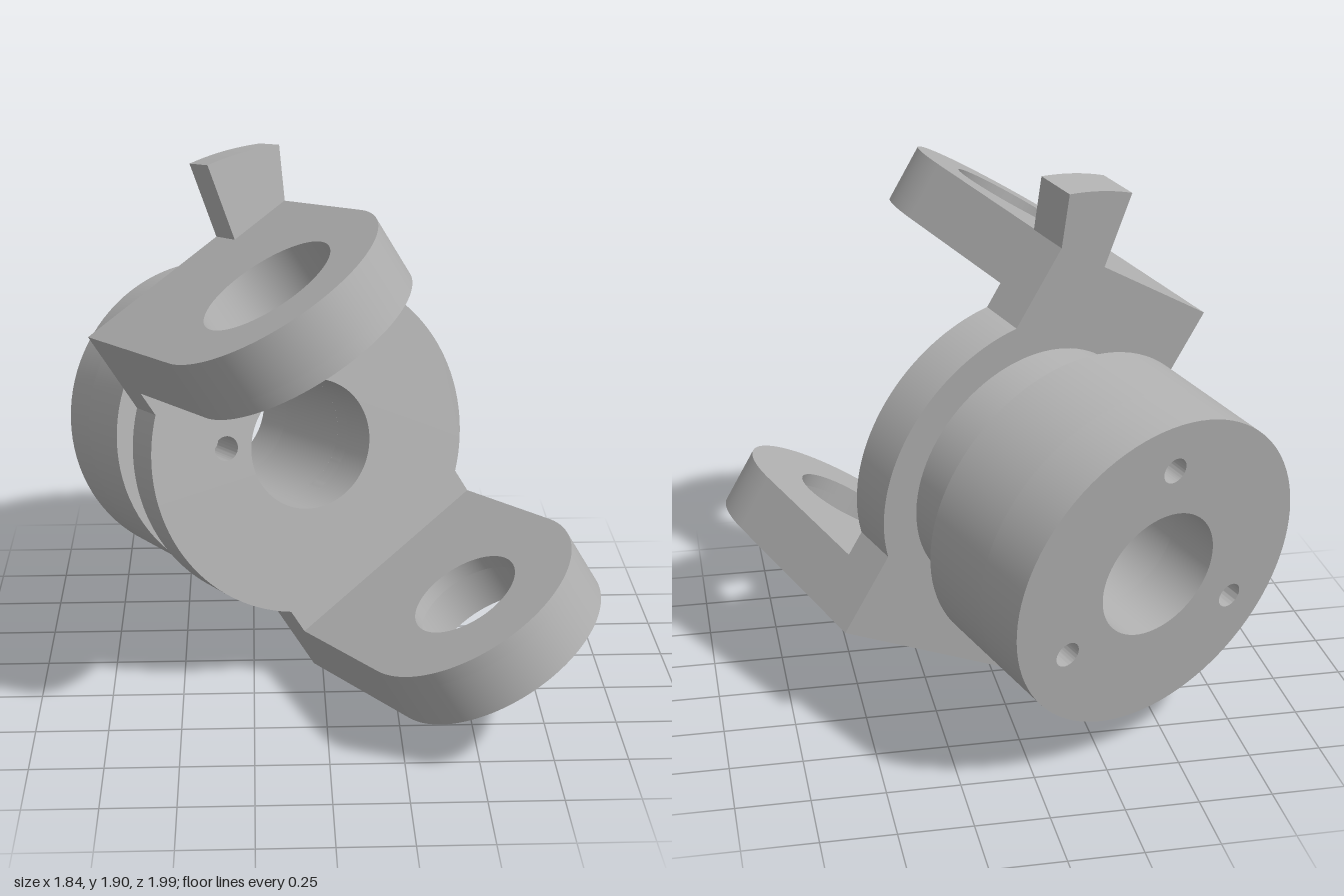
import * as THREE from 'three';
import { toCreasedNormals } from 'three/addons/utils/BufferGeometryUtils.js';

const DEG = Math.PI / 180;
const steel = new THREE.MeshStandardMaterial({ color: 0xb0b0b0 });
steel.name = 'steel grey';

function part(name, geometry) {
  const mesh = new THREE.Mesh(toCreasedNormals(geometry, 0.5), steel);
  mesh.name = name;
  return mesh;
}

function plate(shape, depth, z = 0) {
  const g = new THREE.ExtrudeGeometry(shape, { depth, bevelEnabled: false, curveSegments: 48 });
  return g.translate(0, 0, z);
}

function hole(shape, x, y, r) {
  shape.holes.push(new THREE.Path().absarc(x, y, r, 0, Math.PI * 2, true));
}

// Ring segment between two radii, angles in degrees
function sector(r0, r1, a0, a1) {
  const s = new THREE.Shape();
  s.absarc(0, 0, r1, a0 * DEG, a1 * DEG, false);
  s.absarc(0, 0, r0, a1 * DEG, a0 * DEG, true);
  s.closePath();
  return s;
}

// Local frame: z along the shaft towards the fork, y across the two arms
const BORE = 0.23, BACK = 0.72, FRONT = 0.89, HALF = 0.4, DRUM = 0.57;
const REAR = 0.2; // depth of the blind screw holes
const INNER = 0.54, OUTER = 0.755, LIP = 0.05, PIN = 1.44;

function armShape(r) {
  const s = new THREE.Shape();
  s.moveTo(-HALF, BACK);
  s.lineTo(HALF, BACK);
  s.lineTo(HALF, PIN);
  s.absarc(0, PIN, HALF, 0, Math.PI, false);
  s.closePath();
  hole(s, 0, PIN, r);
  return s;
}

function makeArm(name) {
  const arm = new THREE.Group();
  arm.name = name;
  // counterbored outer layer and the thin retaining lip on the inside
  const thick = OUTER - INNER - LIP;
  arm.add(part('armEye', plate(armShape(0.23), thick).rotateX(Math.PI / 2).translate(0, OUTER, 0)));
  arm.add(part('armLip', plate(armShape(0.19), LIP).rotateX(Math.PI / 2).translate(0, INNER + LIP, 0)));
  return arm;
}

export function createModel() {
  const yoke = new THREE.Group();
  yoke.name = 'yoke';

  // Drum end with three blind screw holes
  const end = new THREE.Shape().absarc(0, 0, DRUM, 0, Math.PI * 2, false);
  hole(end, 0, 0, BORE);
  for (const a of [60, -60, 180]) hole(end, 0.4 * Math.cos(a * DEG), 0.4 * Math.sin(a * DEG), 0.045);
  yoke.add(part('drumEnd', plate(end, REAR)));

  // Drum, groove and neck, with an annular pocket inside
  const profile = [
    [BORE, REAR], [DRUM, REAR], [DRUM, 0.485], [0.5, 0.485], [0.5, 0.5], [0.43, 0.5],
    [0.43, 0.53], [0.47, 0.53], [0.47, BACK], [0.4, BACK], [0.4, 0.64], [BORE, 0.64], [BORE, REAR],
  ].map(([r, z]) => new THREE.Vector2(r, z));
  yoke.add(part('drumAndNeck', new THREE.LatheGeometry(profile, 96).rotateX(Math.PI / 2)));

  // Bore wall, leaving two radial ports under the flange holes
  yoke.add(part('upperBoreWall', plate(sector(BORE, 0.4, 46, 134), BACK - 0.64, 0.64)));
  yoke.add(part('lowerBoreWall', plate(sector(BORE, 0.4, 156, 384), BACK - 0.64, 0.64)));

  // Flange: disc merged with the strip that joins the arms
  const corner = Math.acos(HALF / 0.6);
  const flange = new THREE.Shape();
  flange.absarc(0, 0, 0.6, -corner, corner, false);
  flange.lineTo(HALF, INNER);
  flange.lineTo(-HALF, INNER);
  flange.absarc(0, 0, 0.6, Math.PI - corner, Math.PI + corner, false);
  flange.lineTo(-HALF, -INNER);
  flange.lineTo(HALF, -INNER);
  flange.closePath();
  hole(flange, 0, 0, BORE);
  for (const side of [-1, 1]) hole(flange, side * 0.262, 0.19, 0.043);
  yoke.add(part('flange', plate(flange, FRONT - BACK, BACK)));

  // Fork arms
  yoke.add(makeArm('upperArm'));
  const lower = makeArm('lowerArm');
  lower.rotation.z = Math.PI;
  yoke.add(lower);

  // Flared tab on the back of the upper arm
  yoke.add(part('tab', plate(sector(0.77, 1.045, 62, 77), 0.155, BACK)));

  // Tilt the whole yoke into its pose
  const w = new THREE.Vector3(0.415, 0.178, 0.892).normalize();
  const u = new THREE.Vector3(-0.506, 0.86, 0.064).cross(w).normalize();
  const v = new THREE.Vector3().crossVectors(w, u);
  yoke.quaternion.setFromRotationMatrix(new THREE.Matrix4().makeBasis(u, v, w));
  yoke.position.set(-0.41, 0.707, -0.742);

  const model = new THREE.Group();
  model.name = 'forkedYoke';
  model.add(yoke);
  return model;
}
